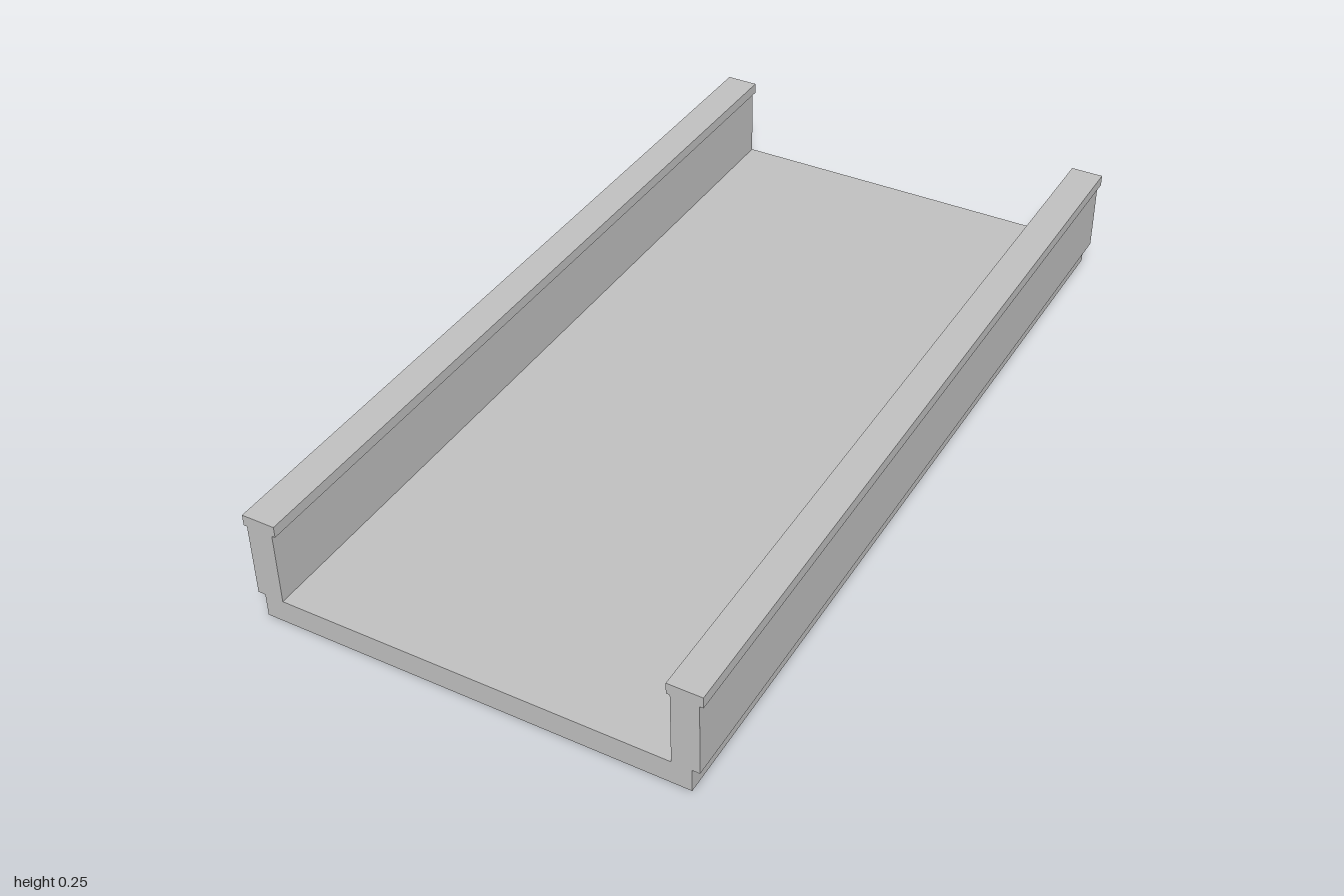
import * as THREE from 'three';

const LENGTH = 2;

export function createModel() {
  const group = new THREE.Group();
  const concrete = new THREE.MeshStandardMaterial({ color: 0xc0c0c0 });
  concrete.name = 'light grey concrete';

  // Full-length bar spanning x0..x1 and y0..y1
  function bar(name, x0, x1, y0, y1) {
    const mesh = new THREE.Mesh(new THREE.BoxGeometry(x1 - x0, y1 - y0, LENGTH), concrete);
    mesh.position.set((x0 + x1) / 2, (y0 + y1) / 2, 0);
    mesh.name = name;
    group.add(mesh);
  }

  // Flat deck slab
  bar('deck', -0.49, 0.49, 0, 0.055);

  // Side walls overhanging the deck, each with a wider coping
  for (const [side, s] of [['left', 1], ['right', -1]]) {
    const mirrored = (name, inner, outer, y0, y1) =>
      bar(side + name, Math.min(s * inner, s * outer), Math.max(s * inner, s * outer), y0, y1);
    mirrored('Wall', 0.446, 0.507, 0.055, 0.228);
    mirrored('Coping', 0.438, 0.515, 0.228, 0.254);
  }

  return group;
}
